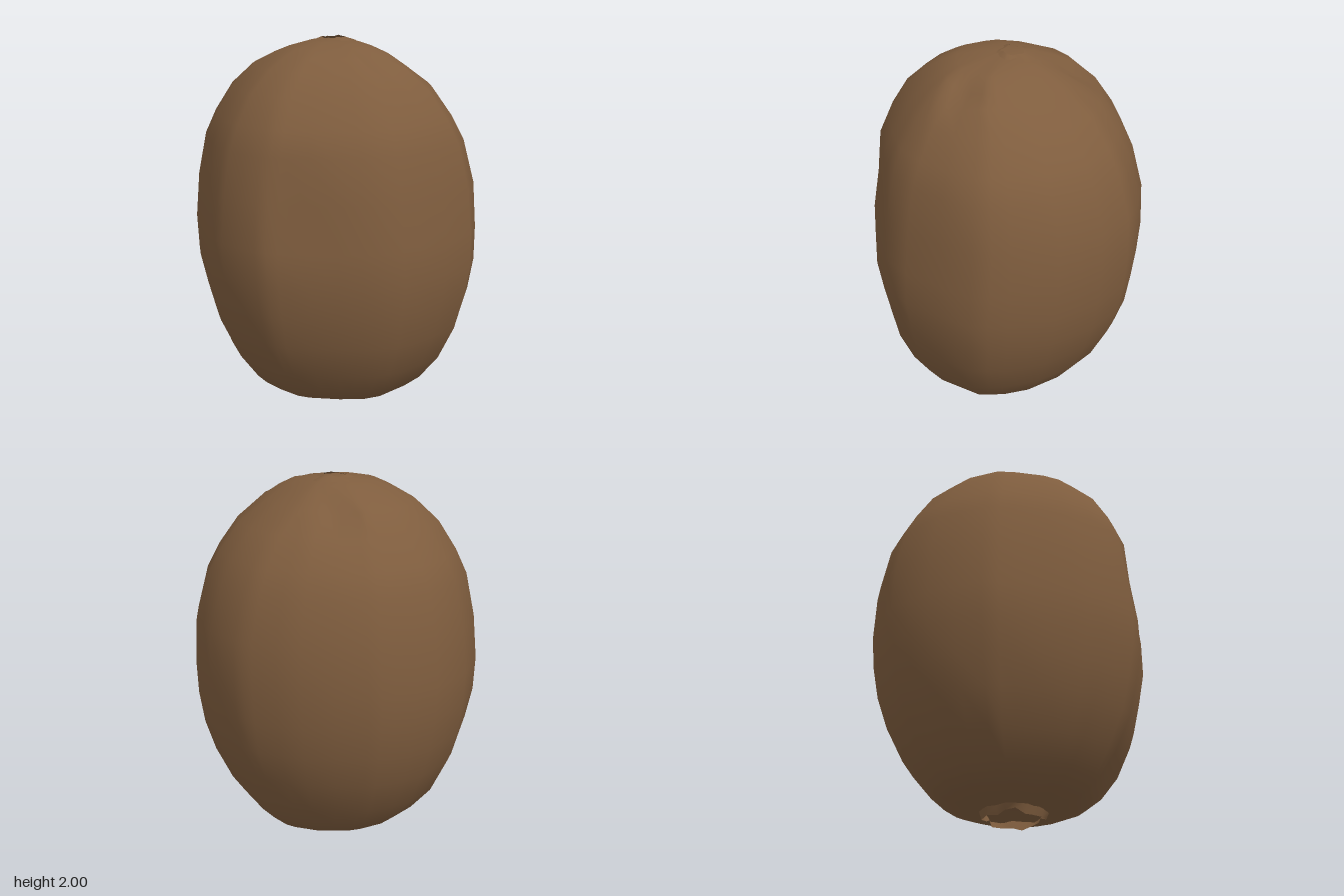
import * as THREE from 'three';
import { mergeVertices } from 'three/addons/utils/BufferGeometryUtils.js';

// Widest outline seen from above: [x, z], counterclockwise from the back
const OUTLINE = [
  [0.1, -0.755], [-0.12, -0.755], [-0.23, -0.72], [-0.46, -0.585], [-0.68, -0.33],
  [-0.73, -0.2], [-0.767, 0.05], [-0.7, 0.31], [-0.53, 0.55], [-0.38, 0.63],
  [-0.1, 0.73], [0.07, 0.752], [0.3, 0.7], [0.4, 0.63], [0.6, 0.4],
  [0.73, 0.19], [0.765, 0], [0.7, -0.39], [0.57, -0.54], [0.36, -0.68],
];

// Profile from the sunken base to the crown: [y, -x, +x, +z, -z]
const LEVELS = [
  [0.09, 0, 0, 0, 0],
  [0.085, 0.1, 0.14, 0.1, 0.13],
  [0.05, 0.16, 0.21, 0.17, 0.19],
  [0.045, 0.2, 0.27, 0.22, 0.25],
  [0.1, 0.37, 0.43, 0.38, 0.39],
  [0.17, 0.46, 0.52, 0.48, 0.46],
  [0.3, 0.58, 0.62, 0.58, 0.56],
  [0.48, 0.67, 0.7, 0.67, 0.65],
  [0.65, 0.725, 0.735, 0.715, 0.71],
  [0.82, 0.755, 0.765, 0.748, 0.737],
  [1.0, 0.767, 0.755, 0.757, 0.752],
  [1.24, 0.75, 0.73, 0.737, 0.747],
  [1.47, 0.7, 0.685, 0.695, 0.68],
  [1.6, 0.635, 0.625, 0.64, 0.61],
  [1.75, 0.535, 0.53, 0.55, 0.5],
  [1.86, 0.42, 0.43, 0.43, 0.34],
  [1.92, 0.29, 0.35, 0.33, 0.25],
  [1.955, 0.2, 0.26, 0.25, 0.18],
  [1.98, 0.13, 0.11, 0.13, 0.12],
  [1.99, 0, 0, 0, 0],
];

// Shallow dents in the skin: centre, radius, depth
const DENTS = [
  [0.36, 1.9, -0.05, 0.13, 0.045],
  [-0.33, 1.86, -0.27, 0.14, 0.04],
  [0.47, 1.2, 0.57, 0.25, 0.025],
  [-0.42, 0.55, 0.55, 0.2, 0.015],
];

function surface(positions, columns, rows) {
  const index = [];
  for (let i = 0; i < rows - 1; i++) {
    for (let j = 0; j < columns; j++) {
      const a = i * columns + j, b = i * columns + (j + 1) % columns;
      index.push(a, b, a + columns, b, b + columns, a + columns);
    }
  }
  let geometry = new THREE.BufferGeometry();
  geometry.setAttribute('position', new THREE.Float32BufferAttribute(positions, 3));
  geometry.setIndex(index);
  geometry = mergeVertices(geometry, 1e-4);
  geometry.computeVertexNormals();
  return geometry;
}

function skinGeometry() {
  // Halve each outline edge so the dents have enough points
  const ring = OUTLINE.flatMap((p, i) => {
    const q = OUTLINE[(i + 1) % OUTLINE.length];
    return [p, [(p[0] + q[0]) / 2, (p[1] + q[1]) / 2]];
  });
  const positions = [];
  const point = new THREE.Vector3(), centre = new THREE.Vector3(), inward = new THREE.Vector3();
  for (const [y, left, right, front, back] of LEVELS) {
    for (const [x, z] of ring) {
      point.set(x * (x < 0 ? left : right) / 0.766, y, z * (z > 0 ? front : back) / 0.754);
      for (const [dx, dy, dz, radius, depth] of DENTS) {
        const t = point.distanceTo(centre.set(dx, dy, dz)) / radius;
        if (t < 1) {
          inward.set(-dx, 1 - dy, -dz).normalize();
          point.addScaledVector(inward, depth * (1 - t * t));
        }
      }
      positions.push(point.x, point.y, point.z);
    }
  }
  return surface(positions, ring.length, LEVELS.length);
}

// Ragged open collar, with the free edge wandering up and down
function collarGeometry(innerRadius, outerRadius, baseY, edgeY, wobble) {
  const sides = 18, positions = [];
  for (const [radius, y, rough] of [[outerRadius, baseY, 0], [innerRadius, edgeY, wobble]]) {
    for (let j = 0; j < sides; j++) {
      const angle = -j / sides * Math.PI * 2;
      const jag = (Math.sin(j * 2.3) + Math.cos(j * 1.1)) / 2;
      const r = radius * (1 + 0.12 * Math.sin(j * 1.7));
      positions.push(Math.cos(angle) * r, y + rough * jag, Math.sin(angle) * r);
    }
  }
  return surface(positions, sides, 2);
}

export function createModel() {
  const model = new THREE.Group();
  model.name = 'fruit';
  const brown = new THREE.MeshStandardMaterial({ color: 0x7f5d3e });
  brown.name = 'brown skin';
  brown.side = THREE.DoubleSide;

  const add = (name, geometry, x = 0, z = 0) => {
    const mesh = new THREE.Mesh(geometry, brown);
    mesh.name = name;
    mesh.position.set(x, 0, z);
    model.add(mesh);
  };

  add('skin', skinGeometry());
  // Dried husk round the hollow at the base
  add('baseHusk', collarGeometry(0.155, 0.17, 0.06, 0.018, 0.018), 0.03, -0.02);
  // Low scar on the crown
  add('crownScar', collarGeometry(0.06, 0.12, 1.972, 1.994, 0.006), -0.03, -0.03);
  return model;
}
